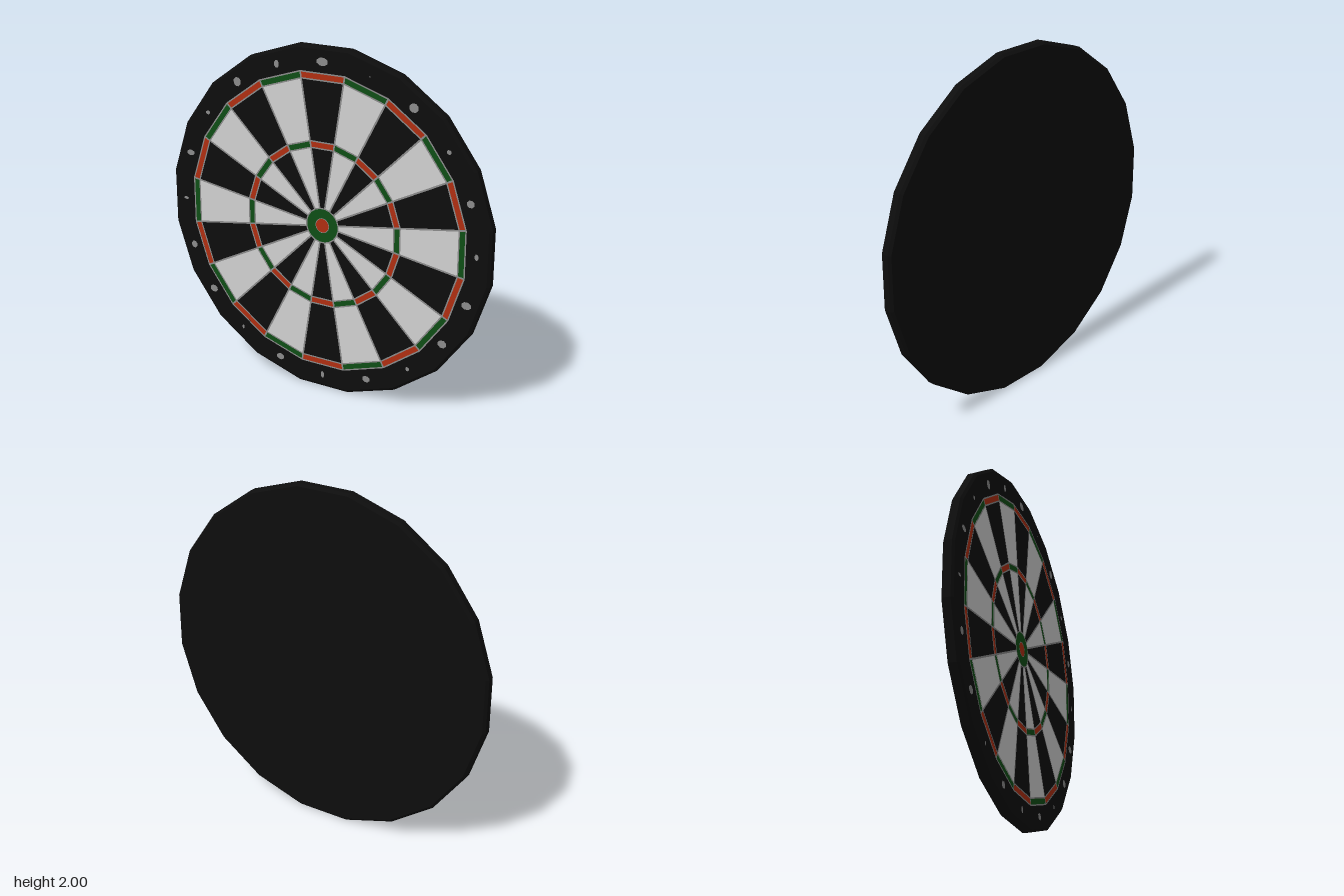
import * as THREE from 'three';
import { mergeGeometries } from 'three/addons/utils/BufferGeometryUtils.js';

const SIDES = 20, STEP = Math.PI * 2 / SIDES, HALF = STEP / 2;
const FACE = 0.0315; // height of the playing face

const material = (name, color) => {
  const m = new THREE.MeshStandardMaterial({ color });
  m.name = name;
  return m;
};

// Flat four-cornered piece of sector i between two apothems
function sectorPiece(i, inner, outer, z) {
  const a = Math.PI / 2 - i * STEP;
  const corner = (r, t) => new THREE.Vector2(Math.cos(t), Math.sin(t)).multiplyScalar(r / Math.cos(HALF));
  return new THREE.ShapeGeometry(new THREE.Shape([
    corner(inner, a - HALF), corner(outer, a - HALF), corner(outer, a + HALF), corner(inner, a + HALF),
  ])).translate(0, 0, z);
}

export function createModel() {
  const black = material('black', 0x0d0d0d);
  const white = material('white', 0xd2d2d2);
  const red = material('red', 0xb02e11);
  const green = material('green', 0x0e4e15);
  const grey = material('wire grey', 0x8c8c8c);

  const board = new THREE.Group();
  board.name = 'dartboard';
  const add = (name, geometry, mat) => {
    const mesh = new THREE.Mesh(geometry, mat);
    mesh.name = name;
    board.add(mesh);
  };

  // Twenty-sided body with chamfered edges
  const R = 1 / Math.cos(HALF);
  const profile = [[0, -0.033], [R - 0.015, -0.033], [R, -0.02], [R, 0.02], [R - 0.015, 0.031], [0, 0.031]]
    .map(([x, y]) => new THREE.Vector2(x, y));
  const body = new THREE.LatheGeometry(profile, SIDES, HALF).rotateX(Math.PI / 2).toNonIndexed();
  body.computeVertexNormals();
  add('body', body, black);

  // Alternating fields and scoring rings
  const fields = [[], []], rings = [[], []];
  for (let i = 0; i < SIDES; i++) {
    const k = i % 2;
    fields[k].push(sectorPiece(i, 0.1, 0.445, FACE), sectorPiece(i, 0.476, 0.823, FACE));
    rings[k].push(sectorPiece(i, 0.445, 0.476, FACE), sectorPiece(i, 0.823, 0.855, FACE));
  }
  add('darkFields', mergeGeometries(fields[0]), black);
  add('lightFields', mergeGeometries(fields[1]), white);
  add('redRingPieces', mergeGeometries(rings[0]), red);
  add('greenRingPieces', mergeGeometries(rings[1]), green);

  // Bull
  add('outerBull', new THREE.CircleGeometry(0.1, SIDES, HALF).translate(0, 0, FACE + 0.0005), green);
  add('innerBull', new THREE.CircleGeometry(0.041, SIDES, HALF).translate(0, 0, FACE + 0.001), red);

  // Wire spider: ring wires and spokes
  const wires = [];
  for (let i = 0; i < SIDES; i++) {
    for (const r of [0.1, 0.442, 0.479, 0.82, 0.858]) {
      wires.push(sectorPiece(i, r - 0.004, r + 0.004, FACE + 0.0015));
    }
    wires.push(sectorPiece(i, 0.039, 0.043, FACE + 0.0015));
    const length = 0.858 / Math.cos(HALF) - 0.1;
    wires.push(new THREE.PlaneGeometry(length, 0.01)
      .translate(0.1 + length / 2, 0, FACE + 0.0015)
      .rotateZ((i + 0.5) * STEP));
  }
  add('wireSpider', mergeGeometries(wires.map(g => {
    const flat = g.toNonIndexed();
    flat.deleteAttribute('uv');
    return flat;
  })), grey);

  // Small worn marks on the outer band, clockwise from the top
  const marks = [[.066, .044], [.008, .006], [.052, .048], [.026, .024], [.042, .04],
    [.022, .034], [.056, .042], [.05, .044], [.022, .024], [.046, .038],
    [.022, .04], [.048, .038], [.014, .024], [.05, .042], [.038, .042],
    [.034, .016], [.05, .032], [.026, .022], [.046, .05], [.028, .042]];
  add('bandMarks', mergeGeometries(marks.map(([w, h], i) => {
    const a = Math.PI / 2 - i * STEP;
    return new THREE.CircleGeometry(0.5, 8, Math.PI / 8).scale(w * 1.08, h * 1.08, 1)
      .translate(Math.cos(a) * 0.922, Math.sin(a) * 0.922, FACE + 0.001);
  })), grey);

  board.position.y = 1;
  const model = new THREE.Group();
  model.name = 'model';
  model.add(board);
  return model;
}
